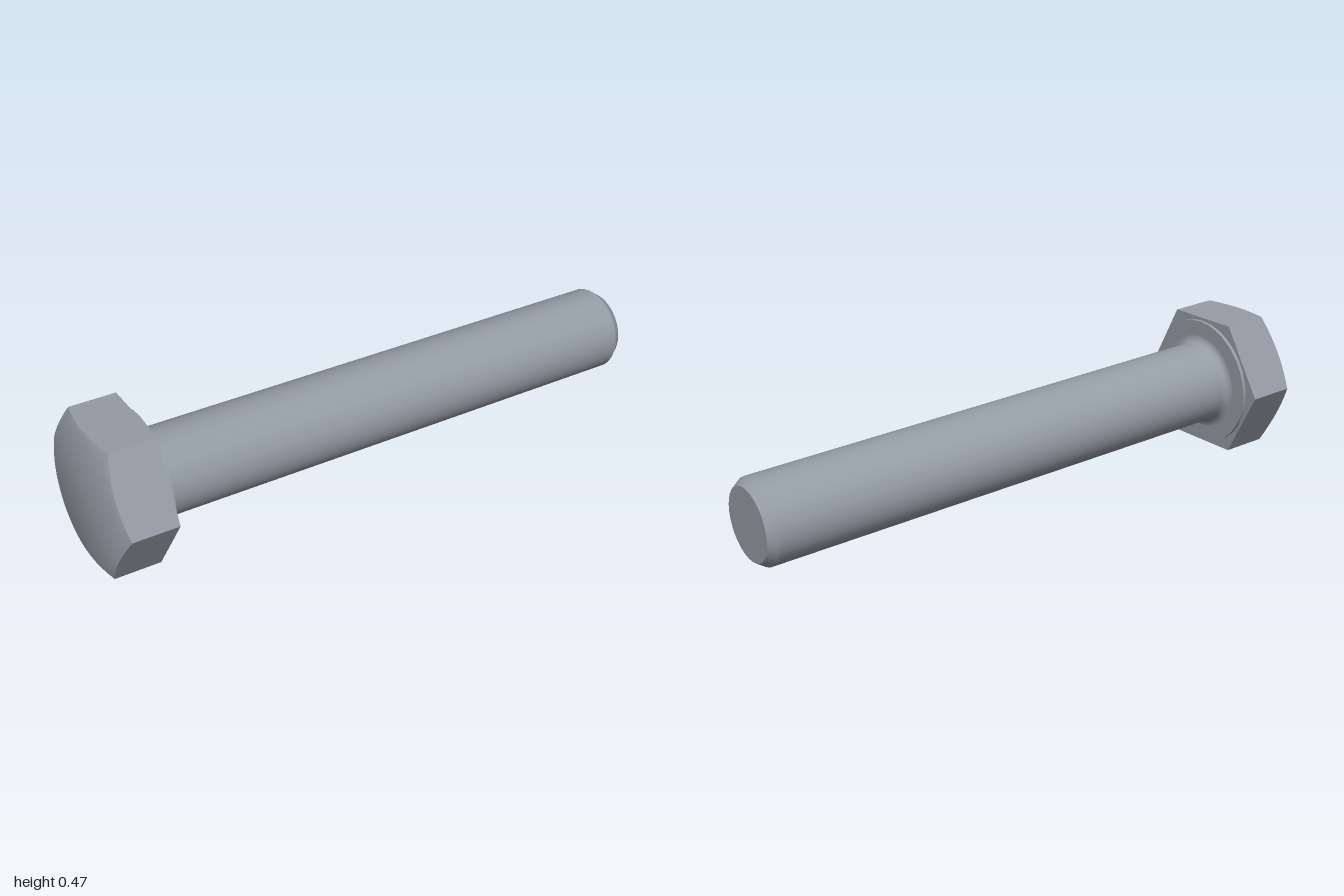
import * as THREE from 'three';
import { toCreasedNormals } from 'three/addons/utils/BufferGeometryUtils.js';

const CREASE = 0.55;      // keeps the hexagon and rim edges sharp
const APOTHEM = 0.231;    // half the width across the flats
const HEAD = 0.175;       // head thickness
const FACE_R = 0.22;      // flat disc on the back of the head
const SHANK_R = 0.141;
const LENGTH = 1.797;     // bearing face to tip

// Hexagonal head: rings swept round the axis, with a conical chamfer on the back
function headGeometry() {
  const steps = 60;
  const point = (ring, i) => {
    const t = ((i % steps) / steps) * Math.PI * 2;
    const hexR = APOTHEM / Math.cos((t % (Math.PI / 3)) - Math.PI / 6);
    const [r, y] = [
      [0, -HEAD],
      [FACE_R, -HEAD],
      [hexR, -HEAD + (hexR - FACE_R) * 0.43],
      [hexR, 0],
      [0, 0],
    ][ring];
    return [r * Math.cos(t), y, r * Math.sin(t)];
  };
  const pos = [];
  for (let ring = 0; ring < 4; ring++) {
    for (let i = 0; i < steps; i++) {
      const a0 = point(ring, i), a1 = point(ring + 1, i);
      const b0 = point(ring, i + 1), b1 = point(ring + 1, i + 1);
      if (ring < 3) pos.push(...a0, ...a1, ...b1);
      if (ring > 0) pos.push(...a0, ...b1, ...b0);
    }
  }
  const g = new THREE.BufferGeometry();
  g.setAttribute('position', new THREE.Float32BufferAttribute(pos, 3));
  return toCreasedNormals(g, CREASE);
}

// Turned part from a list of [radius, height] pairs
function turned(profile) {
  const pts = profile.map(([r, y]) => new THREE.Vector2(r, y));
  return toCreasedNormals(new THREE.LatheGeometry(pts, 32), CREASE);
}

export function createModel() {
  const steel = new THREE.MeshStandardMaterial({ color: 0x949ca5 });
  steel.name = 'steel';
  const bolt = new THREE.Group();
  bolt.name = 'bolt';
  const add = (name, geometry) => {
    const mesh = new THREE.Mesh(geometry, steel);
    mesh.name = name;
    bolt.add(mesh);
  };

  add('hexHead', headGeometry());

  // Raised round bearing face under the head
  const rise = 0.012;
  add('bearingFace', turned([[0.221, 0], [0.221, rise], [SHANK_R, rise]]));

  // Shank with a fillet at the head and a chamfered tip
  const fillet = 0.025;
  const profile = [];
  for (let i = 0; i <= 5; i++) {
    const a = (i / 5) * Math.PI / 2;
    profile.push([SHANK_R + fillet * (1 - Math.sin(a)), rise + fillet * (1 - Math.cos(a))]);
  }
  profile.push([SHANK_R, LENGTH - 0.03], [0.12, LENGTH], [0, LENGTH]);
  add('shank', turned(profile));

  // Lay the bolt down so that the head and the tip both touch the ground
  const axis = new THREE.Vector3(1, -0.0509, 0.212).normalize();
  const across = new THREE.Vector3(-axis.z, 0, axis.x).normalize();
  const third = new THREE.Vector3().crossVectors(across, axis);
  bolt.quaternion.setFromRotationMatrix(new THREE.Matrix4().makeBasis(across, axis, third));
  bolt.position.set(-0.78, 0.232, -0.109);

  const model = new THREE.Group();
  model.name = 'model';
  model.add(bolt);
  return model;
}
